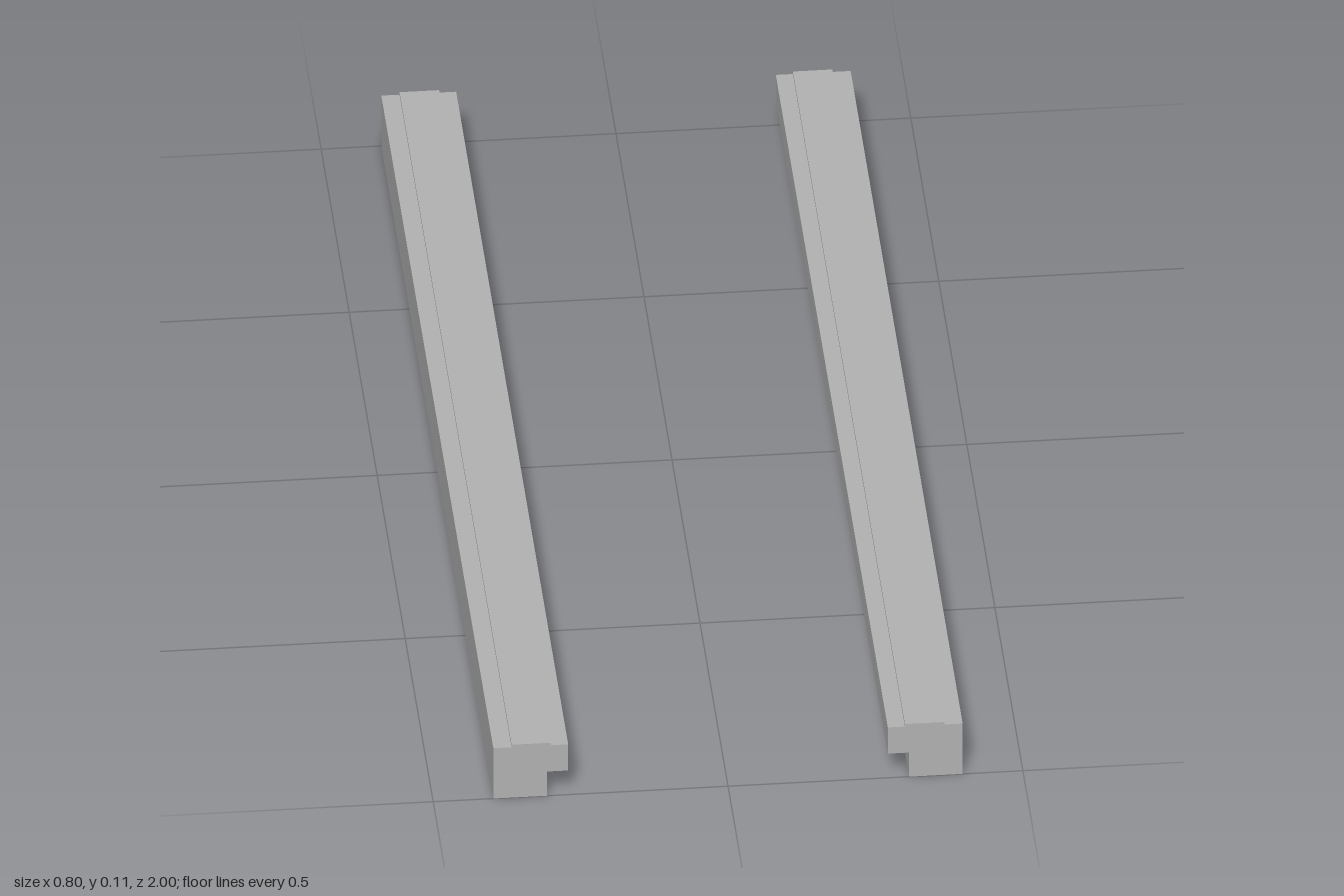
import * as THREE from 'three';

// Rail cross-section as [distance from centre line, height]
const PROFILE = [
  [0.398, 0], [0.398, 0.102], [0.367, 0.102], [0.367, 0.107], [0.3, 0.107],
  [0.3, 0.102], [0.271, 0.102], [0.271, 0.049], [0.307, 0.049], [0.307, 0],
];
const LENGTH = 2;

// One straight rail with an inner lip and a raised strip on top
function makeRail(name, side, material) {
  const shape = new THREE.Shape(PROFILE.map(([x, y]) => new THREE.Vector2(side * x, y)));
  const geometry = new THREE.ExtrudeGeometry(shape, { depth: LENGTH, bevelEnabled: false });
  geometry.translate(0, 0, -LENGTH / 2);
  const rail = new THREE.Mesh(geometry, material);
  rail.name = name;
  return rail;
}

export function createModel() {
  const grey = new THREE.MeshStandardMaterial({ color: 0xb2b2b2 });
  grey.name = 'grey';

  const model = new THREE.Group();
  model.name = 'railPair';
  model.add(makeRail('leftRail', 1, grey), makeRail('rightRail', -1, grey));
  return model;
}
